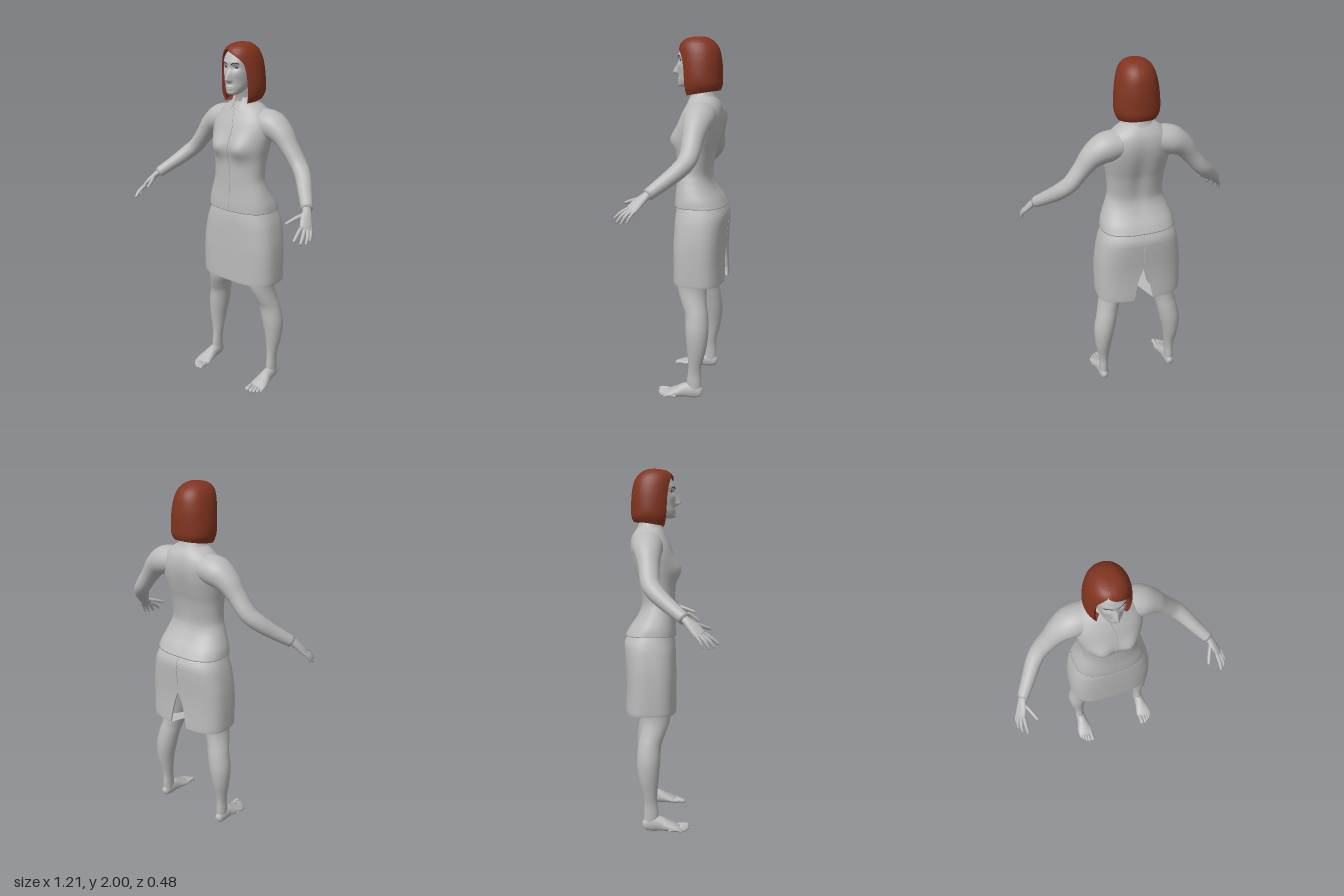
import * as THREE from 'three';
import { toCreasedNormals } from 'three/addons/utils/BufferGeometryUtils.js';

const material = (name, color, side = THREE.FrontSide) => {
  const m = new THREE.MeshStandardMaterial({ color, side });
  m.name = name;
  return m;
};

// Catmull-Rom refinement of rows of numbers
function refine(rows, sub) {
  const out = [], last = rows.length - 1;
  for (let i = 0; i < last; i++) {
    const [a, b, c, d] = [rows[Math.max(0, i - 1)], rows[i], rows[i + 1], rows[Math.min(last, i + 2)]];
    for (let k = 0; k < sub; k++) {
      const t = k / sub;
      out.push(b.map((v, j) => v + 0.5 * t * (c[j] - a[j]
        + t * (2 * a[j] - 5 * v + 4 * c[j] - d[j] + t * (3 * (v - c[j]) + d[j] - a[j])))));
    }
  }
  out.push(rows[last]);
  return out;
}

// Skin over closed rings of points, with both ends closed
function skin(rings, mirror) {
  const n = rings[0].length, pos = [], index = [];
  const put = (p) => pos.push(mirror ? -p.x : p.x, p.y, p.z);
  const tri = (a, b, c) => (mirror ? index.push(a, c, b) : index.push(a, b, c));
  rings.forEach((r) => r.forEach(put));
  for (let i = 0; i < rings.length - 1; i++) {
    for (let j = 0; j < n; j++) {
      const a = i * n + j, b = i * n + (j + 1) % n;
      tri(a, b, b + n);
      tri(a, b + n, a + n);
    }
  }
  [0, rings.length - 1].forEach((e, k) => {
    const c = new THREE.Vector3();
    rings[e].forEach((p) => c.addScaledVector(p, 1 / n));
    put(c);
    const centre = pos.length / 3 - 1;
    for (let j = 0; j < n; j++) {
      const a = e * n + j, b = e * n + (j + 1) % n;
      if (k) tri(a, b, centre); else tri(b, a, centre);
    }
  });
  const g = new THREE.BufferGeometry();
  g.setAttribute('position', new THREE.Float32BufferAttribute(pos, 3));
  g.setIndex(index);
  g.computeVertexNormals();
  return g;
}

const power = (v, e) => Math.sign(v) * Math.abs(v) ** e;
const oval = (y, cx, rx, zf, zb, n, a) => new THREE.Vector3(
  cx + rx * power(Math.sin(a), 2 / n), y, (zf + zb) / 2 + (zf - zb) / 2 * power(Math.cos(a), 2 / n));

// Solid from level rows, bottom to top: y, centre x, half width, front z, back z, squareness
function body(rows, { seg = 48, sub = 6, warp, mirror } = {}) {
  return skin(refine(rows, sub).map((r) => Array.from({ length: seg }, (_, j) => {
    const p = oval(...r, j / seg * Math.PI * 2);
    if (warp) warp(p);
    return p;
  })), mirror);
}

// Thick shell split along one side: rows as above, then thickness, gap start and gap end angles
function shell(rows, turn, warp) {
  const N = 56;
  const g = skin(refine(rows, 5).map(([y, cx, rx, zf, zb, n, t, a, b]) => {
    const ring = [], angle = (j) => turn + a + (2 * Math.PI - a - b) * j / N;
    for (let j = 0; j <= N; j++) ring.push(oval(y, cx, rx, zf, zb, n, angle(j)));
    for (let j = N; j >= 0; j--) ring.push(oval(y, cx, rx - t, zf - t, zb + t, n, angle(j)));
    if (warp) ring.forEach(warp);
    return ring;
  }));
  return toCreasedNormals(g, 1);
}

// Limb along a path of rows x, y, z, radius towards "across", other radius
function limb(rows, across, mirror, seg = 20, sub = 5) {
  const f = refine(rows, sub), at = (i) => new THREE.Vector3(...f[Math.max(0, Math.min(f.length - 1, i))]);
  return skin(f.map((r, i) => {
    const t = at(i + 1).sub(at(i - 1)).normalize();
    const u = t.clone().cross(across).normalize(), w = u.clone().cross(t);
    return Array.from({ length: seg }, (_, j) => {
      const a = j / seg * Math.PI * 2;
      return at(i).addScaledVector(u, Math.sin(a) * r[4]).addScaledVector(w, Math.cos(a) * r[3]);
    });
  }), mirror);
}

const bump = (x, y, cx, cy, sx, sy) => Math.exp(-(((x - cx) / sx) ** 2 + ((y - cy) / sy) ** 2) / 2);

export function createModel() {
  const model = new THREE.Group();
  model.name = 'standingWoman';
  const grey = material('pale grey', 0xbababa);
  const clothGrey = grey;
  const red = material('auburn hair', 0x80341f);
  const dark = material('dark brown', 0x4a2219);
  grey.side = red.side = THREE.DoubleSide;
  const add = (name, geometry, mat) => {
    const m = new THREE.Mesh(geometry, mat);
    m.name = name;
    model.add(m);
    return m;
  };
  const X = new THREE.Vector3(1, 0, 0), Z = new THREE.Vector3(0, 0, 1);

  // Jacket with bust and a shallow groove down the back
  add('jacket', body([
    [1.088, 0, 0.207, 0.056, -0.23, 2.6], [1.13, 0, 0.2, 0.055, -0.207, 2.5], [1.18, 0, 0.183, 0.052, -0.172, 2.4],
    [1.23, 0, 0.165, 0.05, -0.148, 2.3], [1.28, 0, 0.153, 0.05, -0.143, 2.3], [1.38, 0, 0.158, 0.05, -0.16, 2.3],
    [1.45, 0, 0.17, 0.053, -0.18, 2.3], [1.52, 0, 0.18, 0.046, -0.197, 2.3], [1.58, 0, 0.175, 0.027, -0.203, 2.3],
    [1.63, 0, 0.15, 0.003, -0.195, 2.2], [1.665, 0, 0.113, -0.015, -0.175, 2.1], [1.69, 0, 0.068, -0.028, -0.152, 2],
  ], {
    seg: 72,
    warp: (p) => {
      if (p.z > -0.03) for (const s of [-1, 1]) p.z += 0.035 * bump(p.x, p.y, s * 0.075, 1.45, 0.042, 0.042);
      if (p.z < -0.1) p.z += 0.014 * bump(p.x, p.y, 0, 1.4, 0.03, 0.13);
    },
  }), clothGrey);
  // Front closure running from collar to hem
  add('frontClosure', new THREE.TubeGeometry(new THREE.CatmullRomCurve3([
    [-0.02, 1.69, -0.028], [-0.005, 1.62, 0.009], [0.01, 1.55, 0.04], [0, 1.45, 0.07], [0, 1.36, 0.052], [0, 1.25, 0.049],
    [0, 1.1, 0.055],
  ].map((p) => new THREE.Vector3(...p))), 40, 0.0025, 6), clothGrey);
  add('collar', shell([
    [1.655, 0, 0.1, -0.003, -0.178, 2, 0.012, 0.3, 0.3], [1.685, 0, 0.078, -0.02, -0.16, 2, 0.01, 0.3, 0.3],
    [1.712, 0, 0.066, -0.032, -0.15, 2, 0.006, 0.4, 0.4],
  ], 0), clothGrey);

  // Hollow skirt with a slit at the back
  add('skirt', shell([
    [0.658, 0, 0.244, 0.055, -0.231, 3, 0.004, 0.11, 0.11], [0.68, 0, 0.246, 0.056, -0.231, 3, 0.008, 0.1, 0.1],
    [0.78, 0, 0.246, 0.056, -0.227, 3, 0.008, 0.05, 0.05], [0.86, 0, 0.243, 0.056, -0.228, 3, 0.008, 0.002, 0.002],
    [0.92, 0, 0.238, 0.055, -0.232, 2.9, 0.008, 0.001, 0.001], [1, 0, 0.225, 0.053, -0.237, 2.8, 0.008, 0.001, 0.001],
    [1.05, 0, 0.212, 0.05, -0.235, 2.6, 0.008, 0.001, 0.001], [1.11, 0, 0.19, 0.04, -0.205, 2.4, 0.008, 0.001, 0.001],
  ], Math.PI), clothGrey);

  add('neck', body([
    [1.63, 0, 0.062, -0.04, -0.155, 2], [1.7, 0, 0.053, -0.034, -0.14, 2],
    [1.75, 0, 0.051, -0.018, -0.132, 2], [1.81, 0, 0.05, 0, -0.13, 2],
  ]), grey);

  // Head, with nose, eye sockets, brow, lips and chin pressed into the front
  add('head', body([
    [1.735, 0, 0.022, 0.038, -0.02, 2], [1.745, 0, 0.038, 0.046, -0.05, 2.1], [1.77, 0, 0.054, 0.047, -0.09, 2.2],
    [1.8, 0, 0.065, 0.047, -0.14, 2.2], [1.85, 0, 0.075, 0.048, -0.16, 2.2], [1.9, 0, 0.08, 0.047, -0.165, 2.2],
    [1.94, 0, 0.073, 0.033, -0.15, 2.1], [1.968, 0, 0.045, 0.005, -0.12, 2], [1.98, 0, 0.015, -0.03, -0.09, 2],
  ], {
    seg: 128, sub: 10,
    warp: (p) => {
      if (p.z < -0.02) return;
      const { x, y } = p;
      p.z += 0.033 * bump(x, y, 0, 1.815, 0.01, y < 1.815 ? 0.008 : 0.028)
        + 0.007 * bump(x, y, 0, 1.778, 0.017, 0.005) + 0.007 * bump(x, y, 0, 1.766, 0.014, 0.005)
        + 0.006 * bump(x, y, 0, 1.745, 0.018, 0.01);
      for (const s of [-1, 1]) {
        p.z -= 0.013 * bump(x, y, s * 0.032, 1.876, 0.015, 0.01);
        p.z += 0.004 * bump(x, y, s * 0.03, 1.903, 0.02, 0.008) + 0.004 * bump(x, y, s * 0.045, 1.84, 0.015, 0.015)
          + 0.006 * bump(x, y, s * 0.011, 1.811, 0.006, 0.007);
      }
    },
  }), grey);

  // Bob hair, open over the face and parted on the right
  add('hair', shell([
    [1.688, 0, 0.097, 0.02, -0.183, 2.2, 0.004, 0.86, 0.86], [1.73, 0, 0.113, 0.03, -0.193, 2.2, 0.014, 0.86, 0.86],
    [1.78, 0, 0.118, 0.036, -0.195, 2.1, 0.018, 0.85, 0.85], [1.85, 0, 0.113, 0.041, -0.193, 2.1, 0.018, 0.83, 0.85],
    [1.9, 0, 0.105, 0.044, -0.186, 2.1, 0.016, 0.7, 0.8], [1.93, 0, 0.097, 0.045, -0.178, 2.1, 0.014, 0.42, 0.72],
    [1.955, 0, 0.087, 0.04, -0.165, 2.1, 0.012, -0.05, 0.55], [1.972, 0, 0.075, 0.03, -0.15, 2.1, 0.01, -0.33, 0.34],
    [1.988, 0, 0.056, 0.008, -0.128, 2.1, 0.008, -0.34, 0.345], [1.997, 0, 0.034, -0.025, -0.105, 2, 0.006, -0.34, 0.345],
    [2, 0, 0.01, -0.055, -0.075, 2, 0.003, -0.34, 0.345],
  ], 0, (p) => {
    if (p.y < 1.76) p.y += (1.76 - p.y) / 0.07 * 0.15 * Math.max(0, -p.z);
  }), red);

  for (const s of [1, -1]) {
    const side = s > 0 ? 'left' : 'right', flip = s < 0;

    // Eyes and brows
    const eye = add(side + 'Eye', new THREE.SphereGeometry(1, 20, 12), dark);
    eye.scale.set(0.012, 0.0055, 0.007);
    eye.position.set(s * 0.032, 1.877, 0.026);
    add(side + 'Brow', new THREE.TubeGeometry(new THREE.CatmullRomCurve3(
      [[0.014, 1.893, 0.047], [0.032, 1.901, 0.043], [0.051, 1.896, 0.029]]
        .map(([x, y, z]) => new THREE.Vector3(s * x, y, z))), 12, 0.0026, 6), dark);

    // Sleeve from shoulder to cuff
    add(side + 'Sleeve', limb([
      [0.09, 1.585, -0.107, 0.08, 0.072], [0.175, 1.57, -0.107, 0.085, 0.078], [0.243, 1.53, -0.104, 0.07, 0.062],
      [0.297, 1.466, -0.1, 0.056, 0.048], [0.36, 1.386, -0.094, 0.05, 0.043], [0.41, 1.335, -0.062, 0.045, 0.042],
      [0.465, 1.278, 0.001, 0.039, 0.036], [0.525, 1.22, 0.072, 0.031, 0.03],
    ], Z, flip, 32), clothGrey);

    // Hand: palm and five digits
    const spread = new THREE.Vector3(0.45, -0.25, -0.8);
    add(side + 'Palm', limb([
      [0.51, 1.235, 0.058, 0.02, 0.018], [0.533, 1.21, 0.085, 0.025, 0.017], [0.55, 1.182, 0.115, 0.033, 0.016],
      [0.568, 1.152, 0.142, 0.034, 0.012], [0.574, 1.142, 0.152, 0.022, 0.006],
    ], spread, flip), grey);
    [
      ['Thumb', [0.535, 1.205, 0.1], [0.508, 1.188, 0.15], [0.485, 1.168, 0.205], 0.0105],
      ['IndexFinger', [0.552, 1.16, 0.155], [0.557, 1.132, 0.2], [0.558, 1.1, 0.238], 0.0095],
      ['MiddleFinger', [0.563, 1.152, 0.147], [0.58, 1.122, 0.187], [0.584, 1.085, 0.215], 0.0095],
      ['RingFinger', [0.573, 1.15, 0.137], [0.594, 1.118, 0.167], [0.599, 1.08, 0.188], 0.009],
      ['LittleFinger', [0.58, 1.147, 0.122], [0.597, 1.117, 0.143], [0.601, 1.088, 0.155], 0.008],
    ].forEach(([name, a, b, c, r]) => {
      const near = c.map((v, i) => v + (b[i] - v) * 0.15);
      add(side + name, limb([[...a, r, r], [...b, r, r], [...near, r * 0.75, r * 0.75], [...c, r * 0.25, r * 0.25]],
        spread, flip, 10, 4), grey);
    });

    // Leg from ankle to hip
    add(side + 'Leg', body([
      [0.04, 0.214, 0.027, -0.05, -0.132, 2], [0.1, 0.214, 0.027, -0.05, -0.132, 2], [0.15, 0.213, 0.027, -0.056, -0.13, 2],
      [0.2, 0.213, 0.033, -0.058, -0.136, 2], [0.3, 0.214, 0.048, -0.05, -0.16, 2], [0.4, 0.205, 0.061, -0.04, -0.17, 2],
      [0.49, 0.187, 0.062, -0.033, -0.163, 2], [0.55, 0.172, 0.062, -0.01, -0.152, 2], [0.62, 0.152, 0.068, 0.015, -0.147, 2],
      [0.7, 0.14, 0.077, 0.022, -0.158, 2], [0.95, 0.11, 0.095, 0.02, -0.185, 2],
    ], { seg: 32, mirror: flip }), grey);

    // Bare foot and toes
    add(side + 'Foot', limb([
      [0.215, 0.032, -0.138, 0.01, 0.014], [0.215, 0.036, -0.126, 0.022, 0.031], [0.215, 0.046, -0.09, 0.029, 0.045],
      [0.215, 0.043, -0.04, 0.033, 0.041], [0.217, 0.033, 0, 0.042, 0.03], [0.218, 0.022, 0.042, 0.05, 0.02],
      [0.217, 0.016, 0.066, 0.047, 0.013], [0.217, 0.014, 0.074, 0.04, 0.007],
    ], X, flip, 28), grey);
    [[0.185, 0.123, 0.014], [0.208, 0.121, 0.0105], [0.226, 0.112, 0.01], [0.243, 0.099, 0.0095], [0.257, 0.08, 0.009]]
      .forEach(([x, z, r], i) => add(side + 'Toe' + (i + 1), limb([
        [x, 0.017, z - 0.075, r, r], [x, 0.021, z - 0.035, r * 0.9, r * 0.9],
        [x, r + 0.002, z - 0.01, r, r], [x, r, z, r * 0.4, r * 0.4],
      ], X, flip, 12, 4), grey));
  }
  return model;
}
